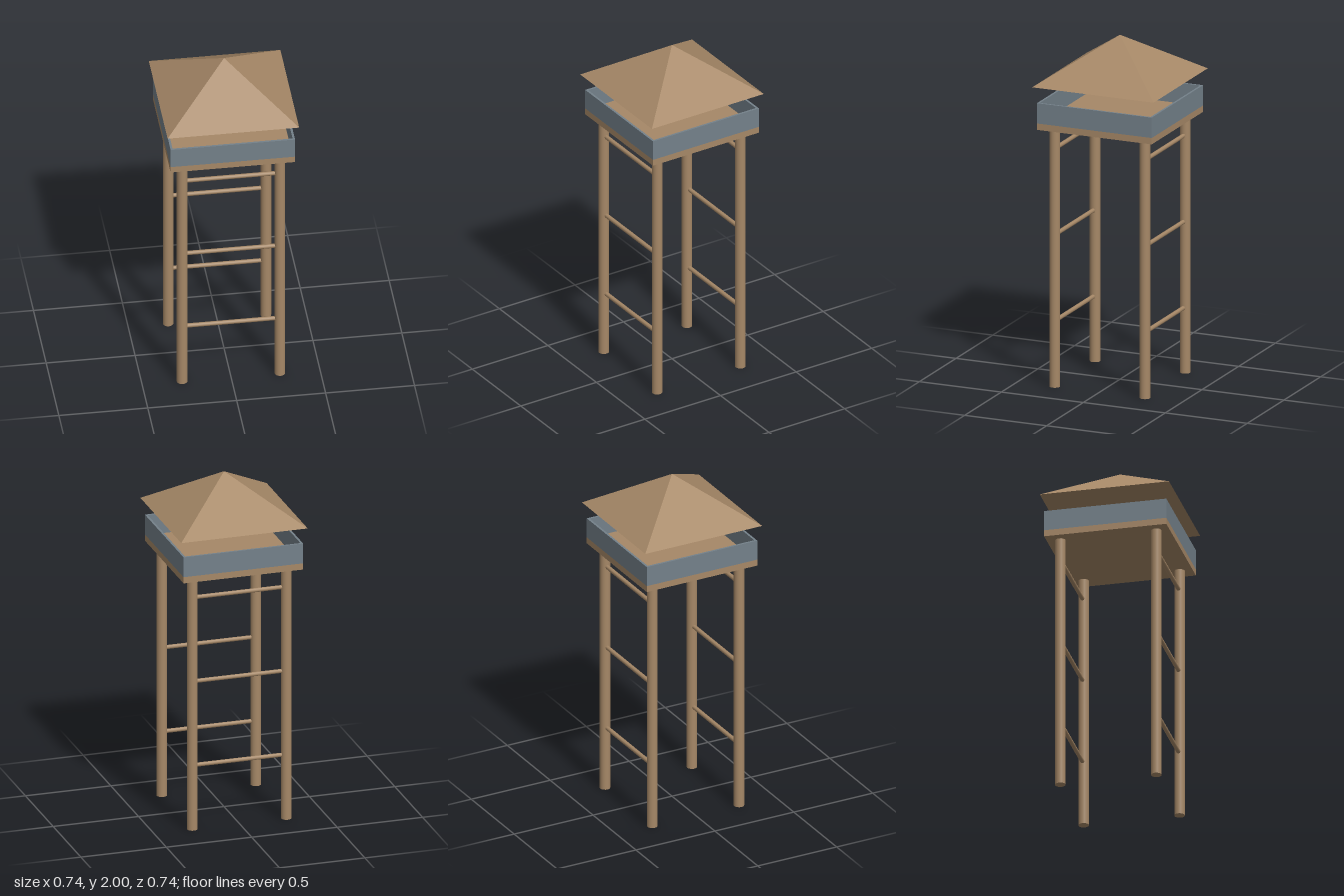
import * as THREE from 'three';

export function createModel() {
  const tower = new THREE.Group();
  tower.name = 'watchtower';

  const wood = new THREE.MeshStandardMaterial({ color: 0xa68867 });
  wood.name = 'wood';
  const slate = new THREE.MeshStandardMaterial({ color: 0x74818a });
  slate.name = 'slate';
  const roofWood = wood.clone();
  roofWood.name = 'roof wood';
  roofWood.flatShading = true;

  const add = (name, geometry, material, x, y, z) => {
    const mesh = new THREE.Mesh(geometry, material);
    mesh.name = name;
    mesh.position.set(x, y, z);
    tower.add(mesh);
    return mesh;
  };

  const legOffset = 0.275;

  // Four round legs
  const legGeometry = new THREE.CylinderGeometry(0.03, 0.03, 1.5, 16);
  for (const x of [-1, 1]) {
    for (const z of [-1, 1]) {
      add('leg', legGeometry, wood, x * legOffset, 0.75, z * legOffset);
    }
  }

  // Rungs between the legs, front and back
  const rungGeometry = new THREE.CylinderGeometry(0.0125, 0.0125, 0.5, 8).rotateZ(Math.PI / 2);
  for (const z of [-1, 1]) {
    for (const y of [0.38, 0.88, 1.38]) {
      add('rung', rungGeometry, wood, 0, y, z * legOffset);
    }
  }

  // Platform
  add('platform', new THREE.BoxGeometry(0.7, 0.037, 0.7), wood, 0, 1.5185, 0);

  // Parapet: full-width front and back, sides fitted between them
  const thick = 0.0125, wallHeight = 0.118, wallY = 1.537 + wallHeight / 2;
  const edge = 0.35 - thick / 2;
  const endWall = new THREE.BoxGeometry(0.7, wallHeight, thick);
  const sideWall = new THREE.BoxGeometry(thick, wallHeight, 0.7 - 2 * thick);
  for (const s of [-1, 1]) {
    add(s > 0 ? 'frontWall' : 'backWall', endWall, slate, 0, wallY, s * edge);
    add(s > 0 ? 'leftWall' : 'rightWall', sideWall, slate, s * edge, wallY, 0);
  }

  // Floating pyramid roof with a closed underside
  const roofGeometry = new THREE.ConeGeometry(0.37 * Math.SQRT2, 0.25, 4).rotateY(Math.PI / 4);
  add('roof', roofGeometry, roofWood, 0, 1.875, 0);

  return tower;
}
